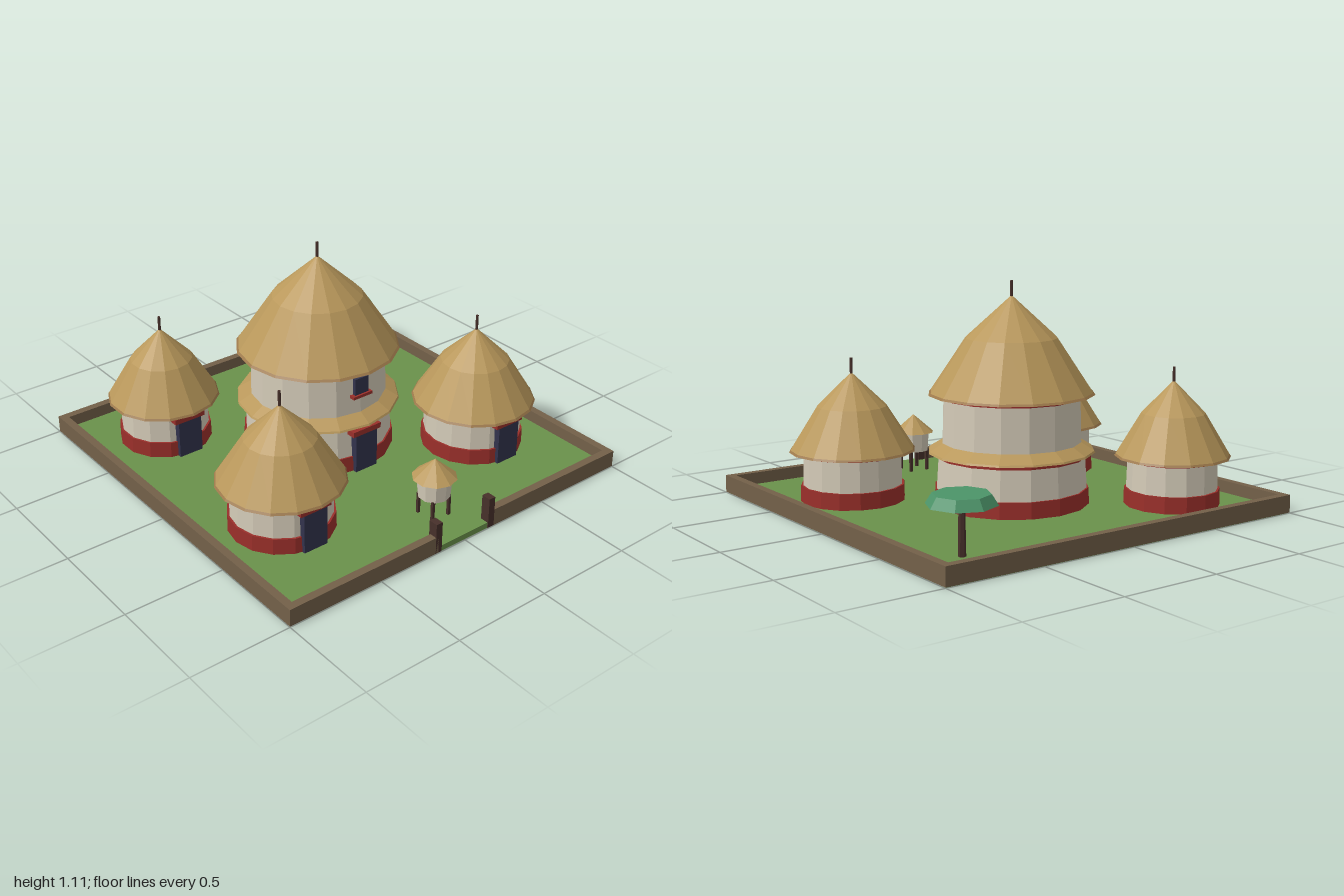
import * as THREE from 'three';

const mat = (name, color) => {
  const m = new THREE.MeshStandardMaterial({ color });
  m.name = name;
  return m;
};

export function createModel() {
  const grass = mat('grass', 0x6a914b);
  const mud = mat('mudWall', 0x736049);
  const wood = mat('darkWood', 0x47302a);
  const plaster = mat('plaster', 0xd3cab7);
  const red = mat('redPaint', 0x9a2f2a);
  const navy = mat('navyPaint', 0x32334c);
  const thatch = mat('thatch', 0xb9985b);
  const eaveStraw = mat('eaveStraw', 0x9c784a);
  const leaf = mat('foliage', 0x4c9469);

  const model = new THREE.Group();
  model.name = 'walledCompound';

  // Helpers: every part is faceted, so normals are made per face
  const add = (parent, name, geometry, material, x = 0, y = 0, z = 0) => {
    const geo = geometry.toNonIndexed();
    geo.computeVertexNormals();
    const mesh = new THREE.Mesh(geo, material);
    mesh.name = name;
    mesh.position.set(x, y, z);
    parent.add(mesh);
    return mesh;
  };
  // Box and drum are given by their bottom and top heights
  const box = (parent, name, material, w, d, y0, y1, x = 0, z = 0) =>
    add(parent, name, new THREE.BoxGeometry(w, y1 - y0, d), material, x, (y0 + y1) / 2, z);
  const drum = (parent, name, material, rTop, rBottom, y0, y1, sides = 16, x = 0, z = 0) =>
    add(parent, name, new THREE.CylinderGeometry(rTop, rBottom, y1 - y0, sides), material, x, (y0 + y1) / 2, z);
  const lathe = (parent, name, material, points, sides = 16) =>
    add(parent, name, new THREE.LatheGeometry(points.map(p => new THREE.Vector2(...p)), sides), material);
  const group = (name, x, z) => {
    const g = new THREE.Group();
    g.name = name;
    g.position.set(x, 0, z);
    model.add(g);
    return g;
  };

  // Thatched roof with a knee in the slope, a straw rim and a finial
  const roof = (parent, r, eave, apex, tip, sides) => {
    const h = apex - eave;
    drum(parent, 'eaveRim', eaveStraw, r * 0.975, r, eave, eave + 0.01, sides);
    lathe(parent, 'thatchRoof', thatch,
      [[r * 0.975, eave + 0.01], [r * 0.55, eave + h * 0.57], [0, apex]], sides);
    drum(parent, 'finial', wood, 0.007, 0.007, apex - 0.03, tip, 6);
  };

  // Door with a red lintel on the front side
  const door = (parent, w, top, front) => {
    box(parent, 'door', navy, w, 0.04, 0.03, top, 0, front - 0.02);
    box(parent, 'lintel', red, w + 0.04, 0.05, top, top + 0.028, 0, front - 0.022);
  };

  // Ground slab
  box(model, 'ground', grass, 1.99, 1.99, 0, 0.03);

  // Boundary walls, open at the front gate
  box(model, 'backWall', mud, 2, 0.04, 0.003, 0.09, 0, -0.98);
  for (const s of [-1, 1]) {
    box(model, 'sideWall', mud, 0.04, 1.92, 0.003, 0.09, s * 0.98, 0);
    box(model, 'frontWall', mud, 0.835, 0.04, 0.003, 0.09, s * 0.5825, 0.98);
    box(model, 'gatePost', wood, 0.036, 0.048, 0.003, 0.16, s * 0.163, 0.976);
  }

  // Small round huts
  const hut = (name, x, z, r, roofR, eave, apex, tip, sides) => {
    const g = group(name, x, z);
    drum(g, 'baseBand', red, r + 0.01, r + 0.012, 0.03, 0.11, sides);
    drum(g, 'wall', plaster, r - 0.005, r, 0.11, eave, sides);
    drum(g, 'topBand', red, r + 0.004, r + 0.004, eave - 0.015, eave + 0.005, sides);
    door(g, 0.13, eave - 0.043, r + 0.017);
    roof(g, roofR, eave, apex, tip, sides);
  };
  hut('leftHut', 0.6, 0.4, 0.245, 0.31, 0.275, 0.66, 0.73, 16);
  hut('rightHut', -0.6, 0.4, 0.245, 0.31, 0.275, 0.66, 0.73, 16);
  hut('rearHut', -0.6, -0.6, 0.222, 0.282, 0.265, 0.635, 0.7, 14);

  // Two-storey main house
  const main = group('mainHouse', 0, -0.1);
  drum(main, 'baseBand', red, 0.378, 0.382, 0.03, 0.11);
  drum(main, 'lowerWall', plaster, 0.36, 0.37, 0.11, 0.27);
  drum(main, 'middleBand', red, 0.37, 0.37, 0.262, 0.287);
  lathe(main, 'skirtRoof', thatch, [[0.33, 0.283], [0.41, 0.283], [0.405, 0.292], [0.335, 0.335]]);
  drum(main, 'upperWall', plaster, 0.335, 0.342, 0.3, 0.565);
  drum(main, 'upperBand', red, 0.345, 0.345, 0.548, 0.57);
  door(main, 0.13, 0.235, 0.39);
  box(main, 'window', navy, 0.08, 0.03, 0.435, 0.522, 0, 0.333);
  box(main, 'windowSill', red, 0.115, 0.045, 0.42, 0.435, 0, 0.336);
  roof(main, 0.408, 0.565, 1.04, 1.11, 16);

  // Granary on four legs
  const granary = group('granary', 0, 0.78);
  for (const sx of [-1, 1]) for (const sz of [-1, 1])
    box(granary, 'leg', wood, 0.014, 0.014, 0.03, 0.14, sx * 0.05, sz * 0.05);
  drum(granary, 'bin', plaster, 0.085, 0.078, 0.135, 0.24, 10);
  drum(granary, 'thatchCone', thatch, 0, 0.108, 0.235, 0.33, 10);

  // Flat-topped tree
  const tree = group('tree', 0.75, -0.755);
  drum(tree, 'trunk', wood, 0.014, 0.018, 0.03, 0.27, 6);
  drum(tree, 'canopy', leaf, 0.128, 0.158, 0.255, 0.303, 8);

  return model;
}
